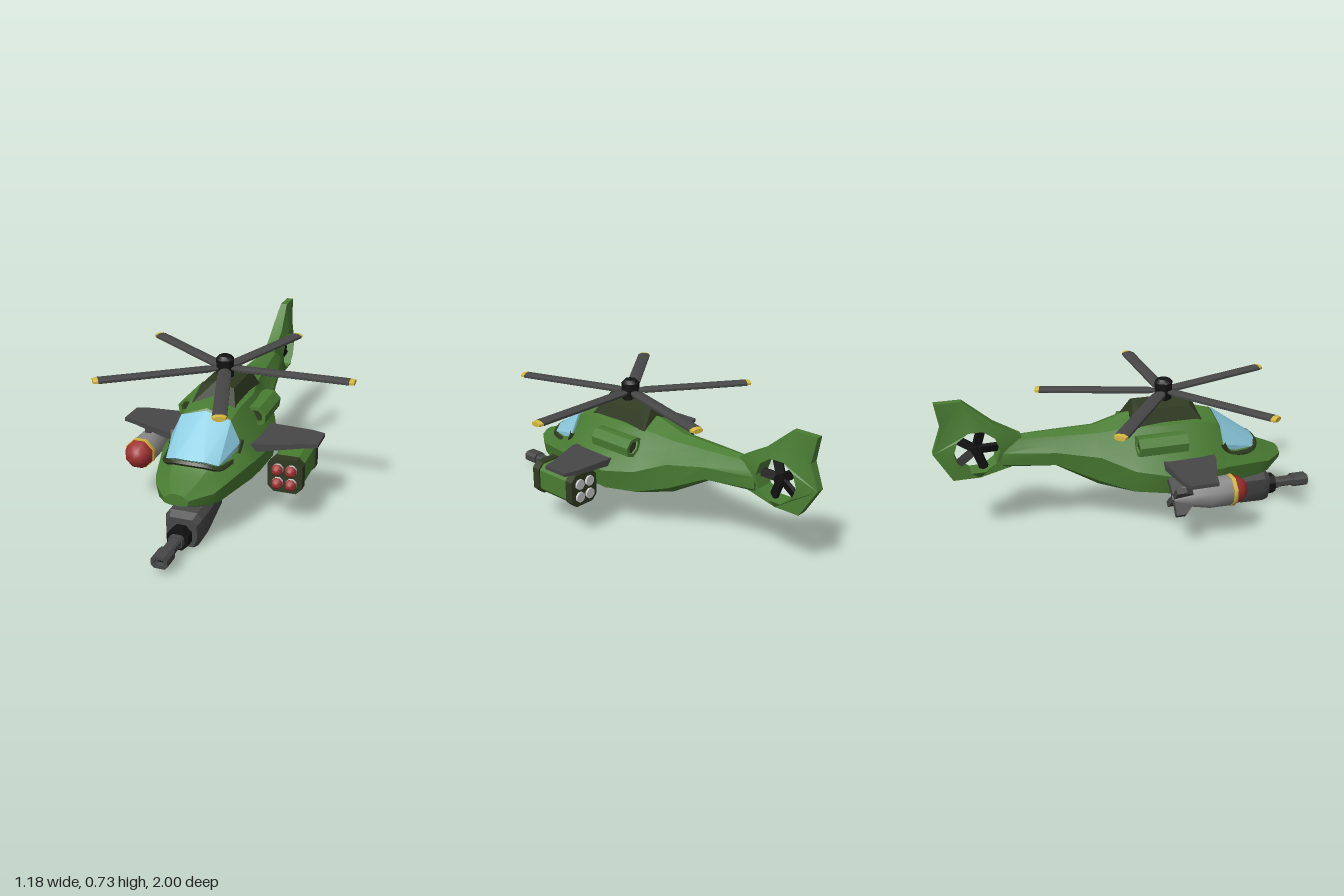
import * as THREE from 'three';
import { toCreasedNormals } from 'three/addons/utils/BufferGeometryUtils.js';
import { ConvexGeometry } from 'three/addons/geometries/ConvexGeometry.js';

const mat = (color) => new THREE.MeshStandardMaterial({ color });
const GREEN = mat(0x4a7d33), OLIVE = mat(0x2f3a20), GLASS = mat(0x8ccbe0), DARK = mat(0x474747),
  BLACK = mat(0x121212), RED = mat(0x9e3030), YELLOW = mat(0xd6b83e), GREY = mat(0x8c8c8c), WHITE = mat(0xd8d8d8);

function add(parent, name, geo, material, x = 0, y = 0, z = 0, crease = 0.6) {
  const mesh = new THREE.Mesh(toCreasedNormals(geo, crease), material);
  mesh.name = name;
  mesh.position.set(x, y, z);
  parent.add(mesh);
}

// Skin through mirrored half sections { z, half }, ordered front to back, each from top to bottom
function loft(sections) {
  const pos = [], idx = [];
  let n = 0;
  for (const { z, half } of sections) {
    const ring = [...half, ...half.slice(1, -1).reverse().map(([x, y]) => [-x, y])];
    n = ring.length;
    ring.forEach(([x, y]) => pos.push(x, y, z));
  }
  const last = (sections.length - 1) * n;
  for (let s = 0; s < last; s += n) {
    for (let j = 0; j < n; j++) {
      const a = s + j, b = s + (j + 1) % n;
      idx.push(a, b, a + n, b, b + n, a + n);
    }
  }
  for (let j = 1; j < n - 1; j++) idx.push(0, j + 1, j, last, last + j, last + j + 1);
  const geo = new THREE.BufferGeometry();
  geo.setAttribute('position', new THREE.Float32BufferAttribute(pos, 3));
  geo.setIndex(idx);
  return geo;
}

const vecs = (pts) => pts.map(([x, y]) => new THREE.Vector2(x, y));
// Turned part along +z
const turned = (pts) => new THREE.LatheGeometry(vecs(pts), 8).rotateY(Math.PI / 8).rotateX(Math.PI / 2);
const rod = (r, len) => new THREE.CylinderGeometry(r, r, len, 8).rotateY(Math.PI / 8).rotateX(Math.PI / 2);
function prism(pts, depth, hole) {
  const shape = new THREE.Shape(vecs(pts));
  if (hole) shape.holes.push(new THREE.Path(vecs(hole)));
  return new THREE.ExtrudeGeometry(shape, { depth, bevelEnabled: false });
}
const octagon = (w, h, c) => [[w, h - c], [w - c, h], [c - w, h], [-w, h - c], [-w, c - h], [c - w, -h], [w - c, -h], [w, c - h]];
// Convex solid from points mirrored over x = 0
const hull = (pts) => new ConvexGeometry(pts.flatMap(([x, y, z]) => [new THREE.Vector3(x, y, z), new THREE.Vector3(-x, y, z)]));

// Fuselage section: roof, shoulder, window line, waist, chine and belly in fixed proportions
function hullSection([z, top, waist, waistY, belly]) {
  const upper = top - waistY, lower = waistY - belly;
  return { z, half: [[0, top], [waist * 0.51, top - upper * 0.18], [waist * 0.72, top - upper * 0.58], [waist, waistY],
    [waist * 0.91, belly + lower * 0.21], [waist * 0.51, belly], [0, belly]] };
}

function buildFuselage(g) {
  // z, roof y, waist half width, waist y, belly y
  add(g, 'fuselage', loft([
    [0.8, 0.295, 0.06, 0.27, 0.238],
    [0.7, 0.335, 0.14, 0.27, 0.195],
    [0.64, 0.362, 0.168, 0.285, 0.188],
    [0.43, 0.525, 0.228, 0.31, 0.185],
    [0.41, 0.552, 0.235, 0.31, 0.185],
    [0.3, 0.582, 0.252, 0.315, 0.185],
    [0.12, 0.582, 0.26, 0.315, 0.185],
    [-0.04, 0.578, 0.2, 0.335, 0.188],
    [-0.2, 0.53, 0.127, 0.4, 0.232],
    [-0.41, 0.525, 0.095, 0.44, 0.355],
    [-0.67, 0.524, 0.045, 0.45, 0.372],
  ].map(hullSection)), GREEN, 0, 0, 0, 0.5);
  // Windshield and its lower frame
  add(g, 'windshield', hull([
    [0, 0.388, 0.645], [0.07, 0.385, 0.635], [0.13, 0.362, 0.605], [0.16, 0.365, 0.48],
    [0.172, 0.41, 0.43], [0.124, 0.51, 0.425], [0, 0.545, 0.425], [0.1, 0.36, 0.42],
  ]), GLASS, 0, 0, 0, 0.4);
  const rim = [[0.176, 0.42, 0.42], [0.166, 0.36, 0.46], [0.135, 0.347, 0.6], [0.07, 0.368, 0.64]].map((p) => new THREE.Vector3(...p));
  const rimPath = new THREE.CatmullRomCurve3([...rim, ...rim.map((v) => new THREE.Vector3(-v.x, v.y, v.z)).reverse()]);
  add(g, 'windshieldFrame', new THREE.TubeGeometry(rimPath, 30, 0.013, 5), OLIVE);
  add(g, 'rotorHousing', hull([
    [0, 0.645, 0.29], [0, 0.645, 0], [0.085, 0.61, 0.27], [0.085, 0.61, 0.01], [0.112, 0.53, 0.33], [0.112, 0.53, -0.04],
  ]), OLIVE, 0, 0, 0, 0.2);
}

function buildTail(g) {
  // Fin with a round duct, thinned toward its tip and trailing edge
  const outline = [[0.57, 0.523], [0.7, 0.6], [0.84, 0.725], [0.97, 0.725], [0.95, 0.6], [0.995, 0.475], [0.91, 0.33], [0.78, 0.33], [0.6, 0.375]];
  const duct = new THREE.Path().absarc(0.79, 0.47, 0.11, 0, Math.PI * 2).getPoints(5).slice(0, -1).map((v) => [v.x, v.y]);
  const geo = prism(outline, 2, duct).translate(0, 0, -1).rotateY(Math.PI / 2);
  const p = geo.attributes.position;
  for (let i = 0; i < p.count; i++) {
    const y = p.getY(i), z = p.getZ(i);
    const half = y > 0.65 ? 0.018 : z < -0.94 ? 0.022 : z > -0.65 || y < 0.34 ? 0.028 : y > 0.59 ? 0.03 : 0.05;
    p.setX(i, Math.sign(p.getX(i)) * half);
  }
  add(g, 'tailFin', geo, GREEN, 0, 0, 0, 0.45);
  const fan = new THREE.Group();
  fan.name = 'tailFan';
  fan.position.set(0, 0.47, -0.79);
  g.add(fan);
  add(fan, 'fanHub', new THREE.CylinderGeometry(0.025, 0.025, 0.06, 8).rotateZ(Math.PI / 2), BLACK);
  for (let i = 0; i < 5; i++) {
    const blade = new THREE.BoxGeometry(0.02, 0.1, 0.042).rotateY(0.35).translate(0, 0.06, 0).rotateX(0.3 + i * Math.PI * 0.4);
    add(fan, 'fanBlade', blade, BLACK);
  }
}

function buildRotor(g) {
  const rotor = new THREE.Group();
  rotor.name = 'mainRotor';
  rotor.position.set(0, 0.67, 0.16);
  g.add(rotor);
  add(rotor, 'hub', new THREE.LatheGeometry(vecs([[0, -0.05], [0.044, -0.05], [0.047, 0.045], [0.03, 0.063], [0, 0.063]]), 8), BLACK);
  const flat = (pts) => new THREE.LatheGeometry(vecs(pts), 8).rotateY(Math.PI / 8).rotateZ(-Math.PI / 2).scale(1, 0.43, 1);
  for (let i = 0; i < 5; i++) {
    const a = i * Math.PI * 0.4;
    add(rotor, 'rotorBlade', flat([[0.018, 0.03], [0.035, 0.08], [0.035, 0.622]]).rotateY(a), DARK);
    add(rotor, 'bladeTip', flat([[0.035, 0.622], [0.028, 0.645], [0, 0.645]]).rotateY(a), YELLOW);
  }
}

function buildSide(g, s) {
  // Stub wing, thinner toward the tip
  const plan = [[0.15, 0.37], [0.24, 0.36], [0.44, 0.285], [0.505, 0.27], [0.505, 0.13], [0.44, 0.11], [0.15, 0.09]];
  const wing = prism(plan.map(([x, z]) => [s * x, -z]), 1).rotateX(-Math.PI / 2);
  const p = wing.attributes.position;
  for (let i = 0; i < p.count; i++) {
    p.setY(i, p.getY(i) > 0.5 ? 0.378 : 0.36 - 0.073 * (0.505 - Math.abs(p.getX(i))));
  }
  add(g, s > 0 ? 'leftWing' : 'rightWing', wing, DARK);
  // Engine intake with recessed dark mouth
  const rim = [[0.13, 0.495], [0.15, 0.506], [0.196, 0.504], [0.229, 0.468], [0.223, 0.424], [0.184, 0.41], [0.14, 0.44]].map(([x, y]) => [s * x, y]);
  const mouth = rim.map(([x, y]) => [s * 0.183 + (x - s * 0.183) * 0.62, 0.462 + (y - 0.462) * 0.62]);
  add(g, 'intake', prism(rim, 0.25, mouth), GREEN, 0, 0, -0.03);
  add(g, 'intakeMouth', prism(mouth, 0.22), OLIVE, 0, 0, -0.02);
}

function buildRocketPod(g) {
  const pod = new THREE.Group();
  pod.name = 'rocketPod';
  pod.position.set(0.385, 0.259, 0);
  g.add(pod);
  add(pod, 'podBody', prism(octagon(0.078, 0.079, 0.028), 0.26), GREEN, 0, 0, 0.135);
  for (const z of [0.365, 0.12]) add(pod, 'podBand', prism(octagon(0.085, 0.086, 0.03), 0.045), OLIVE, 0, 0, z);
  for (const x of [-0.033, 0.033]) for (const y of [-0.035, 0.035]) {
    add(pod, 'rocketBody', rod(0.028, 0.32), WHITE, x, y, 0.268, 0.9);
    add(pod, 'rocketNose', turned([[0.029, 0], [0.025, 0.014], [0.013, 0.025], [0, 0.028]]), RED, x, y, 0.426, 0.9);
  }
}

function buildBomb(g) {
  const bomb = new THREE.Group();
  bomb.name = 'bomb';
  bomb.position.set(-0.366, 0.256, 0);
  g.add(bomb);
  add(bomb, 'bombBody', turned([[0, 0.09], [0.028, 0.09], [0.055, 0.18], [0.074, 0.27], [0.076, 0.385]]), GREY, 0, 0, 0, 0.9);
  add(bomb, 'bombRing', turned([[0.07, 0.38], [0.079, 0.38], [0.079, 0.4], [0.07, 0.4]]), YELLOW, 0, 0, 0, 0.9);
  add(bomb, 'bombNose', turned([[0.075, 0.398], [0.065, 0.435], [0.038, 0.465], [0, 0.477]]), RED, 0, 0, 0, 0.9);
  for (let i = 0; i < 4; i++) {
    const fin = prism([[0.01, -0.09], [0.095, -0.085], [0.095, -0.135], [0.04, -0.19], [0.01, -0.19]], 0.03)
      .translate(0, 0, -0.015).rotateX(-Math.PI / 2).rotateZ(Math.PI / 4 + i * Math.PI / 2);
    add(bomb, 'bombFin', fin, DARK);
  }
  add(bomb, 'pylon', new THREE.BoxGeometry(0.03, 0.06, 0.1), DARK, 0, 0.085, 0.25);
}

function buildTurret(g) {
  const turret = new THREE.Group();
  turret.name = 'chinGun';
  g.add(turret);
  // z, half width, top y, bottom y
  const sections = [[0.75, 0.075, 0.145, 0.005], [0.715, 0.09, 0.166, 0], [0.59, 0.09, 0.166, 0.004], [0.45, 0.085, 0.166, 0.05], [0.43, 0.07, 0.155, 0.085]];
  add(turret, 'turretBody', loft(sections.map(([z, w, t, b]) => ({
    z, half: [[0, t], [w * 0.73, t], [w, t - (t - b) * 0.18], [w, b + (t - b) * 0.33], [w * 0.75, b], [0, b]],
  }))), DARK, 0, 0, 0, 0.5);
  add(turret, 'collar', rod(0.056, 0.06), BLACK, 0, 0.062, 0.77);
  add(turret, 'barrel', prism(octagon(0.028, 0.022, 0.01), 0.14), DARK, 0, 0.062, 0.79);
  add(turret, 'barrelBand', prism(octagon(0.034, 0.028, 0.012), 0.03), DARK, 0, 0.062, 0.795);
  const bore = octagon(0.025, 0.014, 0.009);
  add(turret, 'muzzle', prism(octagon(0.039, 0.029, 0.014), 0.085, bore), DARK, 0, 0.062, 0.915);
  add(turret, 'bore', prism(bore, 0.05), BLACK, 0, 0.062, 0.92);
}

export function createModel() {
  const model = new THREE.Group();
  model.name = 'helicopter';
  const g = new THREE.Group();
  g.name = 'airframe';
  g.position.x = -0.057;
  model.add(g);
  buildFuselage(g);
  buildTail(g);
  buildRotor(g);
  for (const s of [1, -1]) buildSide(g, s);
  buildRocketPod(g);
  buildBomb(g);
  buildTurret(g);
  return model;
}
